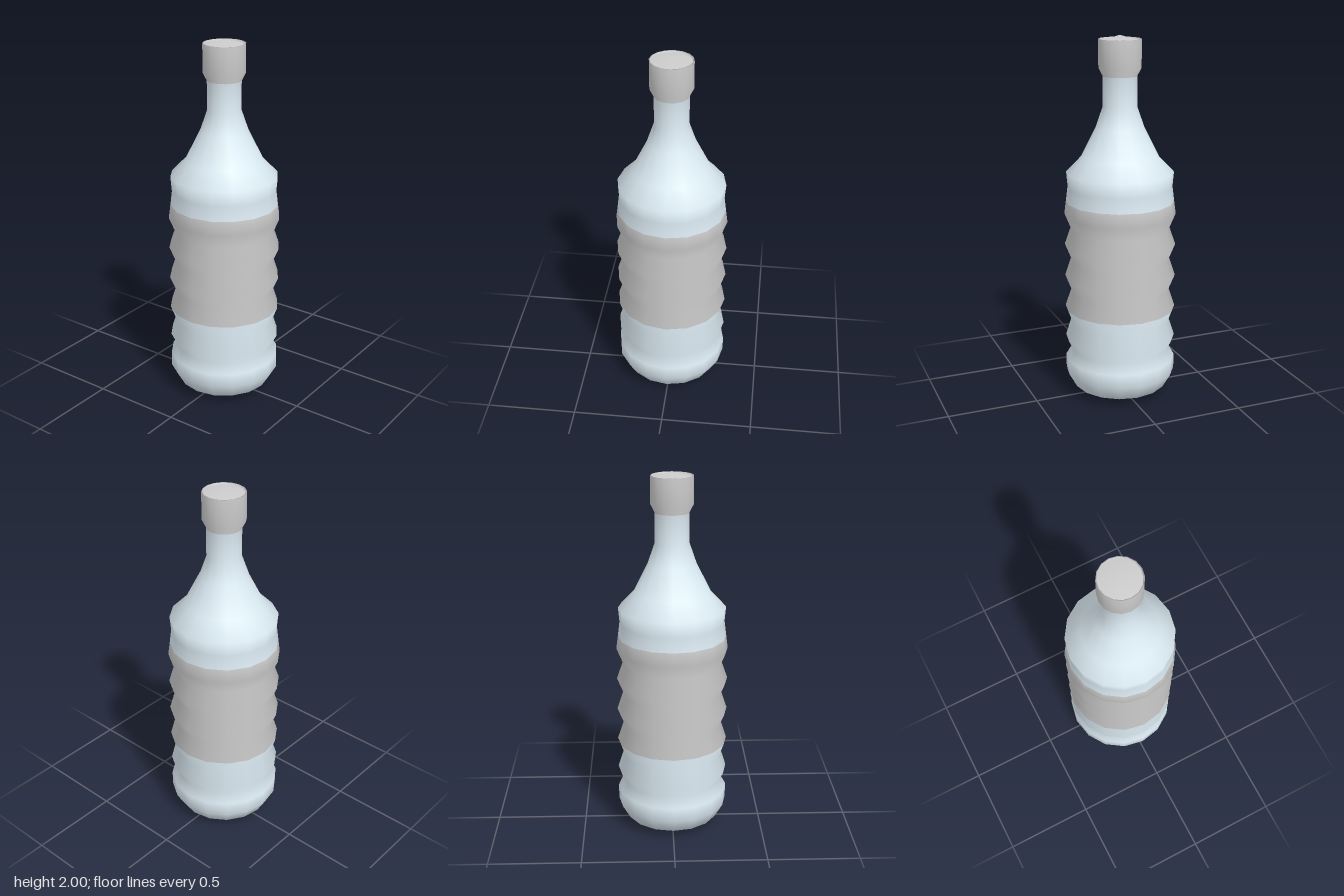
import * as THREE from 'three';
import { mergeVertices } from 'three/addons/utils/BufferGeometryUtils.js';

const SIDES = 16;

// Bottle outline as [radius, height], from the base up to the cap
const PROFILE = [
  [0, 0], [0.26, 0.045], [0.305, 0.125], [0.305, 0.205], [0.272, 0.26],
  [0.305, 0.325], [0.275, 0.42],
  // label
  [0.305, 0.5], [0.272, 0.6], [0.305, 0.68], [0.272, 0.78], [0.305, 0.86],
  [0.272, 0.955], [0.305, 1.035], [0.295, 1.11],
  // shoulder and neck
  [0.285, 1.19], [0.292, 1.27], [0.21, 1.355], [0.13, 1.515], [0.092, 1.625],
  // cap with a slightly sunken, pointed lid
  [0.092, 1.787], [0.114, 1.83], [0.114, 1.98], [0.108, 1.98], [0.106, 1.967], [0, 2],
];
const LABEL_START = 7, LABEL_END = 14, CAP_START = 20;
const ROWS = PROFILE.length - 1;

// One smooth skin for the whole bottle, so shading flows across the colour bands
function bottleSkin() {
  const geo = new THREE.LatheGeometry(PROFILE.map(([r, y]) => new THREE.Vector2(r, y)), SIDES);
  geo.deleteAttribute('uv');
  geo.deleteAttribute('normal');
  // the lowest point of the base sits off centre
  const pos = geo.attributes.position;
  for (let i = 0; i < pos.count; i += PROFILE.length) pos.setX(i, 0.185);
  const skin = mergeVertices(geo, 1e-4);
  skin.computeVertexNormals();
  return skin;
}

// The faces between two rows of the outline
function band(skin, from, to) {
  const part = skin.clone();
  const index = [];
  for (let side = 0; side < SIDES; side++) {
    for (let k = (side * ROWS + from) * 6; k < (side * ROWS + to) * 6; k++) {
      index.push(skin.index.getX(k));
    }
  }
  part.setIndex(index);
  return part;
}

export function createModel() {
  const group = new THREE.Group();
  group.name = 'bottle';
  const glass = new THREE.MeshStandardMaterial({ color: 0xdcebf3 });
  const grey = new THREE.MeshStandardMaterial({ color: 0xcccccc });
  const skin = bottleSkin();

  const add = (name, from, to, material) => {
    const mesh = new THREE.Mesh(band(skin, from, to), material);
    mesh.name = name;
    group.add(mesh);
  };
  add('lowerBody', 0, LABEL_START, glass);
  add('label', LABEL_START, LABEL_END, grey);
  add('shoulderAndNeck', LABEL_END, CAP_START, glass);
  add('cap', CAP_START, ROWS, grey);
  return group;
}
